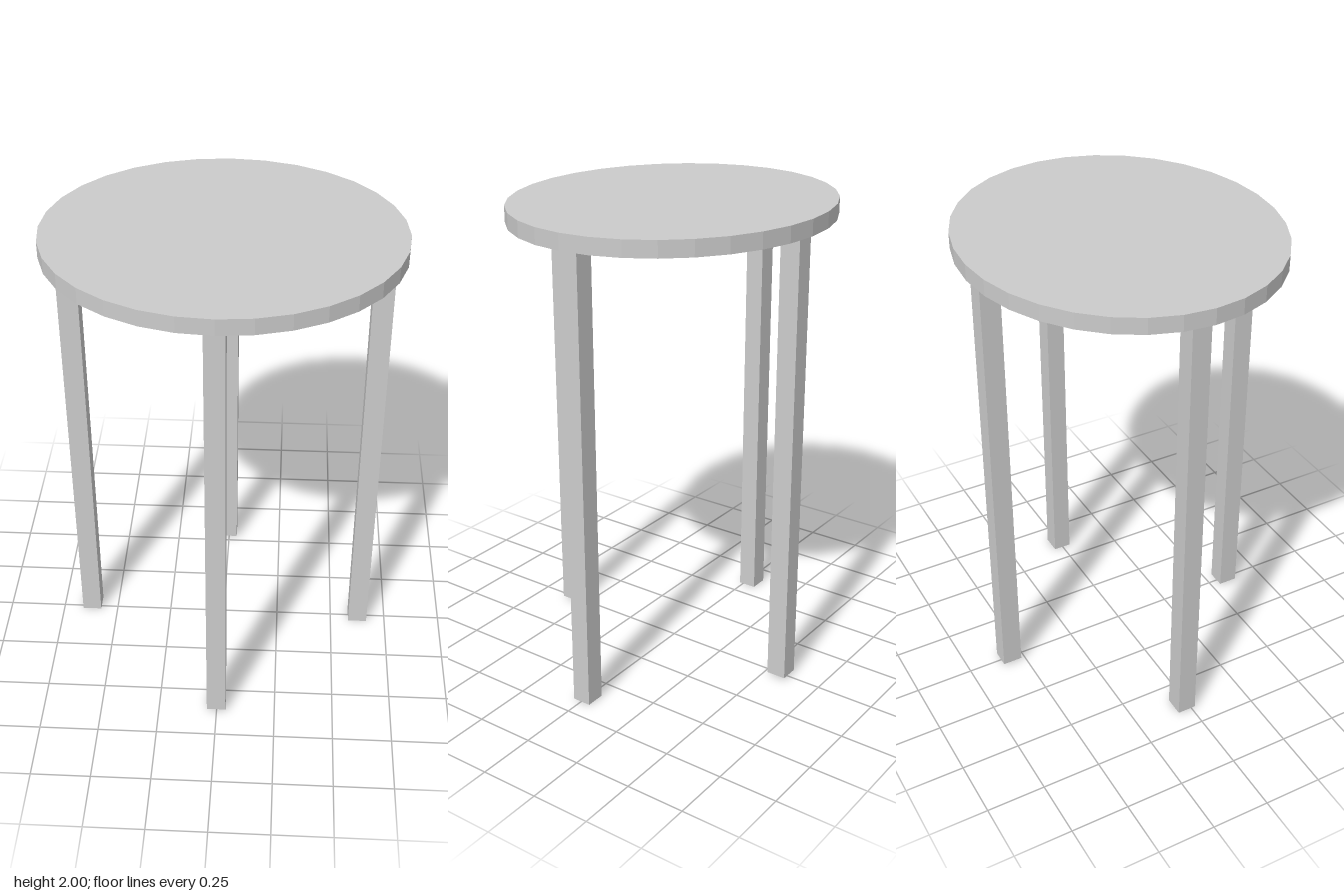
import * as THREE from 'three';

export function createModel() {
  const model = new THREE.Group();
  const material = new THREE.MeshStandardMaterial({ color: 0xcccccc, flatShading: true });

  // Slightly oval, faceted top
  const topBottom = 1.933, topHeight = 2 - topBottom;
  const top = new THREE.Mesh(new THREE.CylinderGeometry(1, 1, topHeight, 32), material);
  top.name = 'tableTop';
  top.scale.set(0.713, 1, 0.635);
  top.position.y = topBottom + topHeight / 2;
  model.add(top);

  // Square legs: name, x, z, width, depth, foot height, upper end
  const legs = [
    ['leftLeg', 0.624, -0.002, 0.084, 0.08, 0, 1.927],
    ['rightLeg', -0.619, -0.022, 0.084, 0.08, 0, 1.927],
    ['frontLeg', -0.002, 0.578, 0.08, 0.084, 0.01, 1.935],
    ['backLeg', -0.002, -0.562, 0.08, 0.084, 0.01, 1.935],
  ];
  for (const [name, x, z, width, depth, foot, end] of legs) {
    const leg = new THREE.Mesh(new THREE.BoxGeometry(width, end - foot, depth), material);
    leg.name = name;
    leg.position.set(x, (foot + end) / 2, z);
    model.add(leg);
  }
  return model;
}
